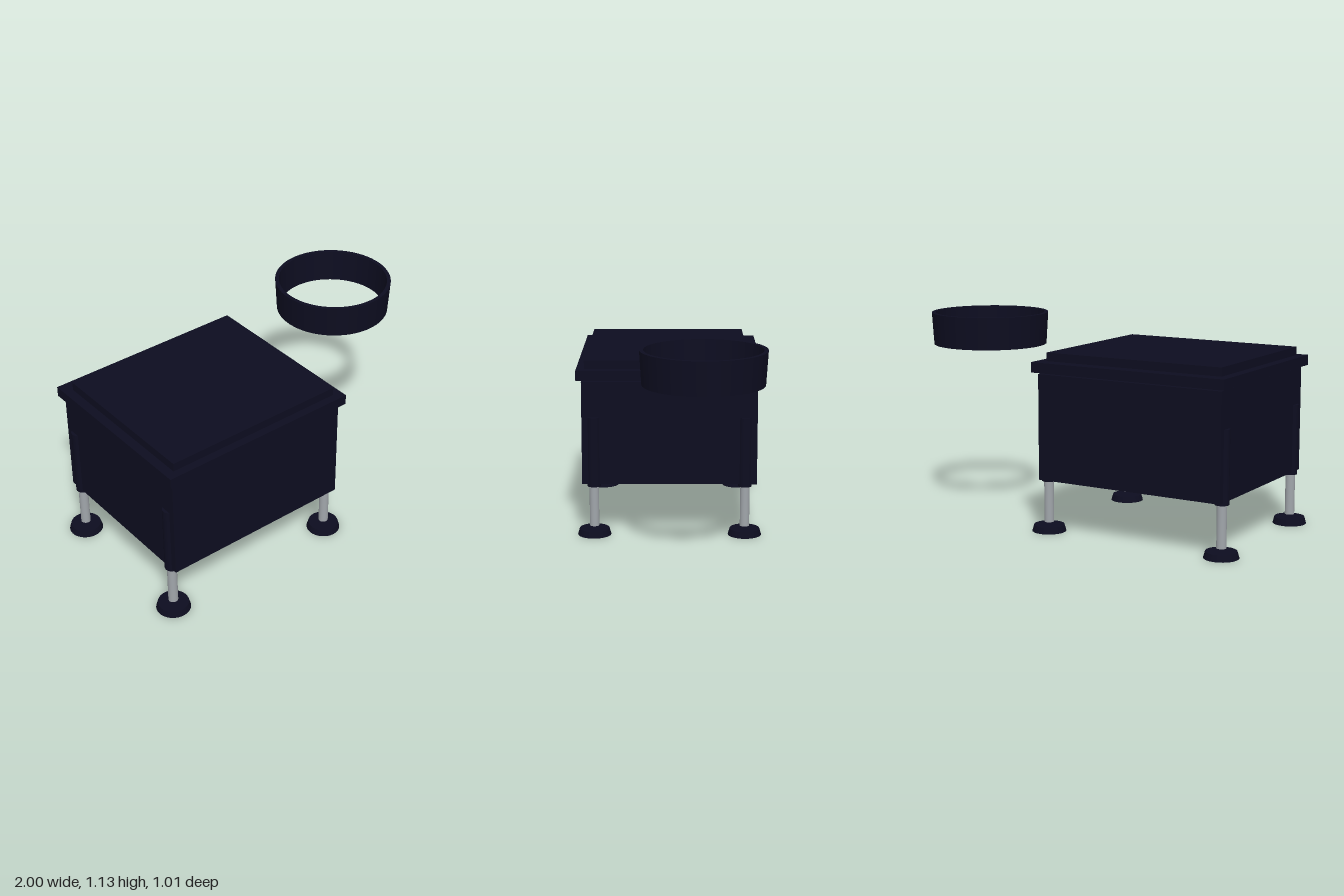
import * as THREE from 'three';

export function createModel() {
  const model = new THREE.Group();
  const navy = new THREE.MeshStandardMaterial({ color: 0x0d0d20 });
  navy.name = 'dark navy';
  const steel = new THREE.MeshStandardMaterial({ color: 0xa0a5aa });
  steel.name = 'steel grey';

  const add = (name, geometry, material, x, y, z, parent = model) => {
    const mesh = new THREE.Mesh(geometry, material);
    mesh.name = name;
    mesh.position.set(x, y, z);
    parent.add(mesh);
    return mesh;
  };

  // Cabinet and two-step lid
  const cx = -0.39;
  add('body', new THREE.BoxGeometry(1.08, 0.57, 0.955), navy, cx, 0.575, 0);
  add('lidRim', new THREE.BoxGeometry(1.134, 0.055, 1.01), navy, cx, 0.8975, 0);
  add('lidPanel', new THREE.BoxGeometry(1.032, 0.047, 0.893), navy, cx, 0.9475, 0.015);

  // Adjustable legs: sleeve, rod and foot at each corner
  const sleeve = new THREE.CylinderGeometry(0.037, 0.037, 0.387, 32);
  const rod = new THREE.CylinderGeometry(0.026, 0.026, 0.5, 32);
  const foot = new THREE.CylinderGeometry(0.082, 0.092, 0.035, 32);
  for (const sx of [-1, 1]) {
    for (const sz of [-1, 1]) {
      const leg = new THREE.Group();
      leg.name = (sz > 0 ? 'front' : 'back') + (sx > 0 ? 'Left' : 'Right') + 'Leg';
      leg.position.set(cx + sx * 0.519, 0, sz * 0.413);
      add('sleeve', sleeve, navy, 0, 0.4685, 0, leg);
      add('rod', rod, steel, 0, 0.3, 0, leg);
      add('foot', foot, navy, 0, 0.0175, 0, leg);
      model.add(leg);
    }
  }

  // Separate tapered ring; each wall is its own smooth surface with crisp rims
  const ring = new THREE.Group();
  ring.name = 'ring';
  ring.position.set(0.674, 0, -0.174);
  const y0 = 0.955, y1 = 1.132;
  const section = [[0.293, y0], [0.313, y0], [0.324, y1], [0.303, y1]];
  ['ringBottom', 'ringOuterWall', 'ringTop', 'ringInnerWall'].forEach((name, i) => {
    const ends = [section[i], section[(i + 1) % 4]].map(p => new THREE.Vector2(...p));
    add(name, new THREE.LatheGeometry(ends, 64), navy, 0, 0, 0, ring);
  });
  model.add(ring);

  return model;
}
